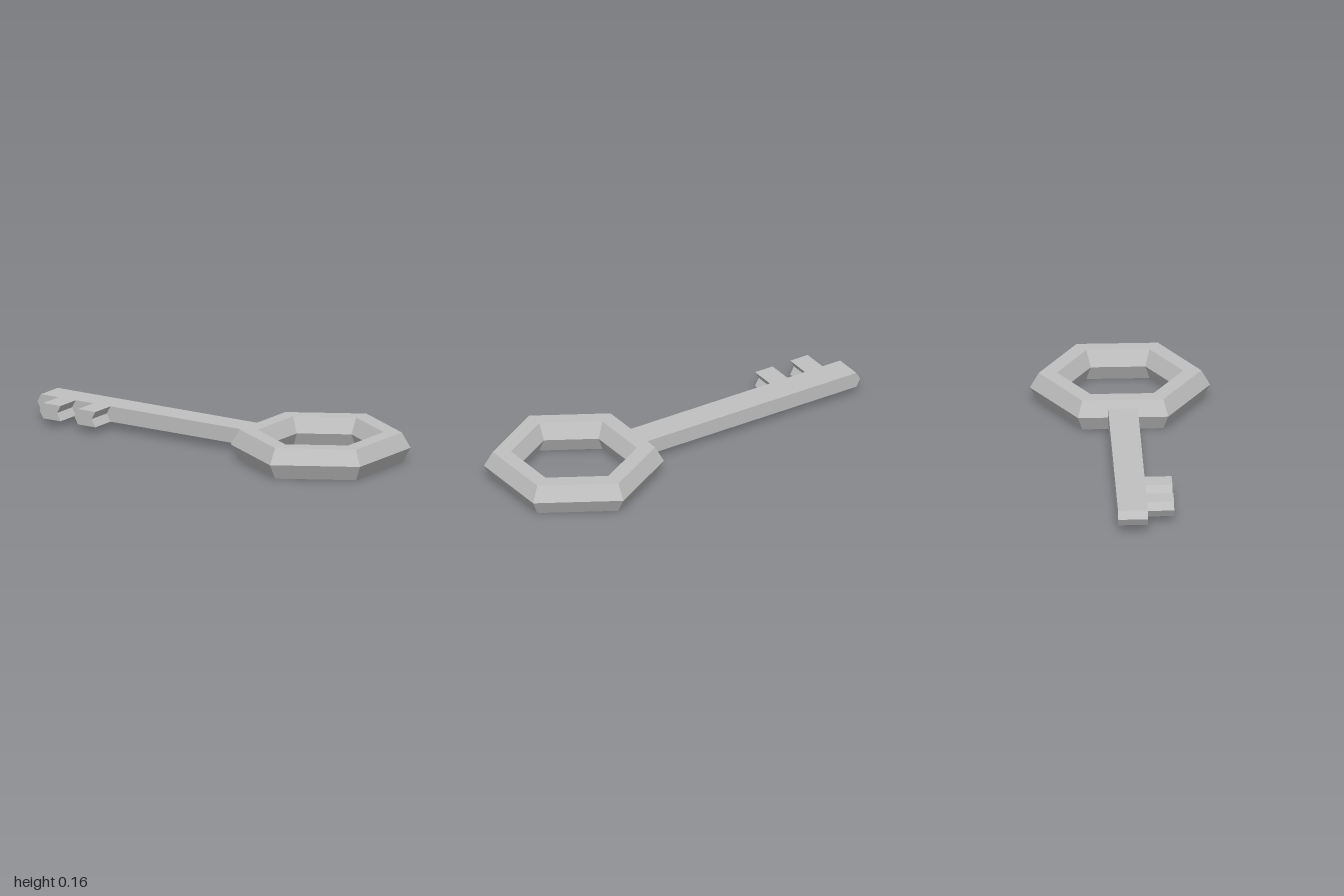
import * as THREE from 'three';

const HEIGHT = 0.163;        // ring thickness
const BLADE = 0.082;         // blade thickness
const SHEAR = 0.023;         // how far the blade's middle layer leans towards its tip
const CENTRE = [0.529, 0.262]; // ring centre in x, z

// Six-sided ring with a six-sided cross-section
function ringGeometry() {
  const h = HEIGHT;
  const profile = [
    [0.283, h / 2], [0.326, 0], [0.42, 0], [0.466, h / 2], [0.42, h], [0.326, h], [0.283, h / 2],
  ].map(([r, y]) => new THREE.Vector2(r, y));
  const geometry = new THREE.LatheGeometry(profile, 6, Math.PI / 2).toNonIndexed();
  geometry.computeVertexNormals();
  return geometry;
}

// Shaft with two teeth; x runs along the shaft from the ring centre, teeth towards +z
function bladeGeometry() {
  const half = 0.077, tooth = 0.217;
  const tip = -1.694, step = 0.1085;
  const outline = [[-0.335, -half], [tip, -half], [tip, half]];
  for (const i of [1, 3]) {
    const a = tip + i * step, b = a + step;
    outline.push([a, half], [a, tooth], [b, tooth], [b, half]);
  }
  outline.push([-0.335, half]);
  const shape = new THREE.Shape(outline.map(([s, t]) => new THREE.Vector2(s, -t)));
  const geometry = new THREE.ExtrudeGeometry(shape, { depth: BLADE, steps: 2, bevelEnabled: false });

  // Push the middle layer towards the tip, giving pointed ends
  const p = geometry.attributes.position;
  for (let i = 0; i < p.count; i++) {
    if (Math.abs(p.getZ(i) - BLADE / 2) < 0.001) p.setX(i, p.getX(i) - SHEAR);
  }
  geometry.rotateX(-Math.PI / 2);
  geometry.computeVertexNormals();
  return geometry;
}

export function createModel() {
  const metal = new THREE.MeshStandardMaterial({ color: 0xc0c0c0 });
  metal.name = 'greyMetal';

  const key = new THREE.Group();
  key.name = 'key';

  const ring = new THREE.Mesh(ringGeometry(), metal);
  ring.name = 'ringHandle';
  ring.position.set(CENTRE[0], 0, CENTRE[1]);

  const blade = new THREE.Mesh(bladeGeometry(), metal);
  blade.name = 'toothedShaft';
  blade.position.set(CENTRE[0], (HEIGHT - BLADE) / 2, CENTRE[1]);
  blade.rotation.y = -Math.PI / 6;

  key.add(ring, blade);
  return key;
}
